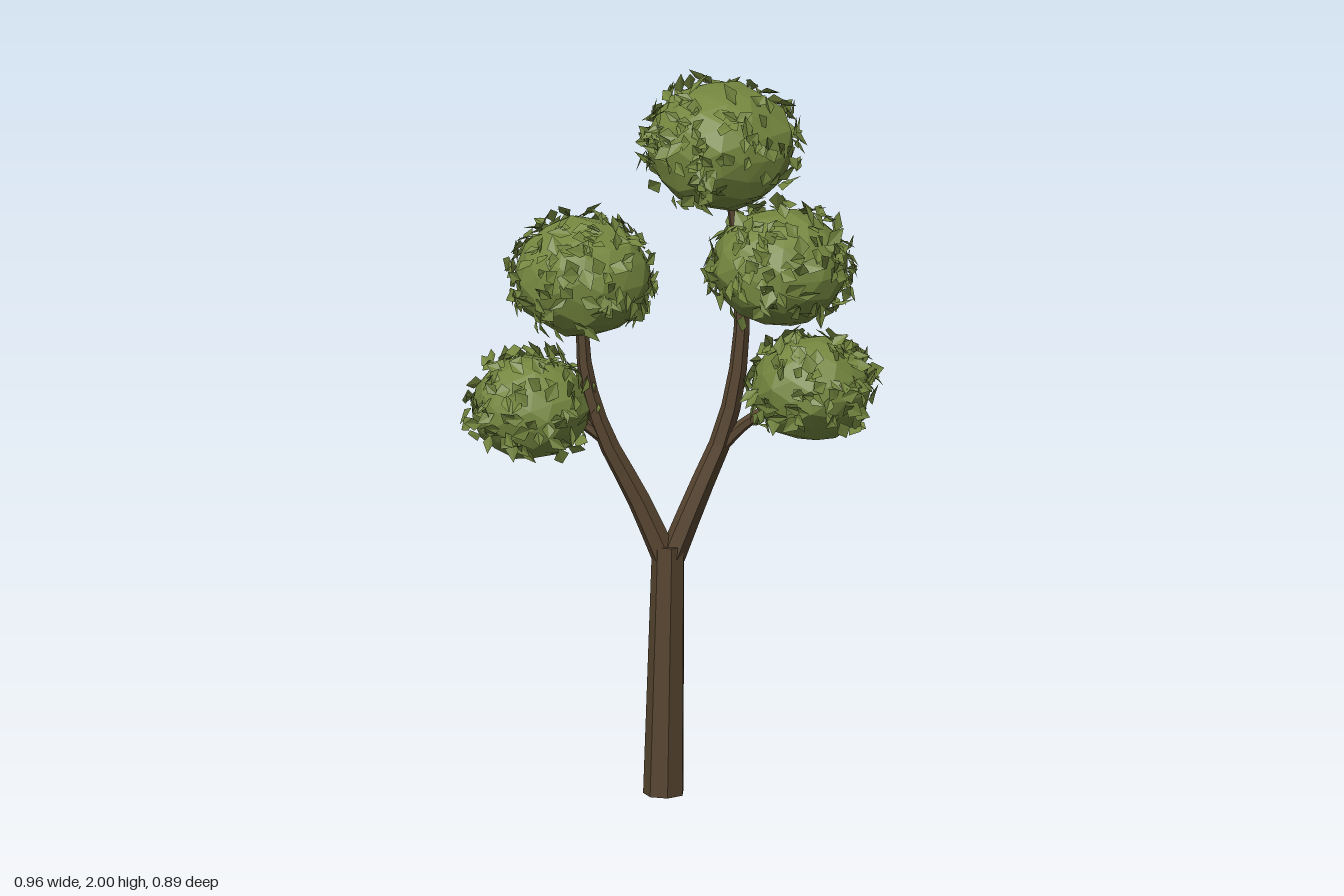
import * as THREE from 'three';

const bark = new THREE.MeshStandardMaterial({ color: 0x56442f, flatShading: true });
bark.name = 'bark brown';
const green = new THREE.MeshStandardMaterial({ color: 0x74863f, flatShading: true });
green.name = 'foliage green';
const leafGreen = new THREE.MeshStandardMaterial({ color: 0x74863f, flatShading: true, side: THREE.DoubleSide });
leafGreen.name = 'leaf green';

const V = (x, y, z) => new THREE.Vector3(x, y, z);

function seeded(seed) {
  let s = seed * 7919 + 17;
  return () => {
    s = (s * 16807) % 2147483647;
    return s / 2147483647;
  };
}

function mesh(name, geometry, material) {
  const m = new THREE.Mesh(geometry, material);
  m.name = name;
  return m;
}

// Six-sided limb that tapers along a curve
function limb(name, points, r0, r1) {
  const curve = new THREE.CatmullRomCurve3(points);
  const rows = 10, sides = 6;
  const geo = new THREE.TubeGeometry(curve, rows, 1, sides);
  const pos = geo.attributes.position, p = V(0, 0, 0);
  for (let i = 0; i < pos.count; i++) {
    const t = Math.floor(i / (sides + 1)) / rows;
    const c = curve.getPointAt(t);
    p.fromBufferAttribute(pos, i).sub(c).multiplyScalar(r0 + (r1 - r0) * t).add(c);
    pos.setXYZ(i, p.x, p.y, p.z);
  }
  return mesh(name, geo, bark);
}

// Faceted, slightly lumpy crown body
function crownBody(radii, seed) {
  const geo = new THREE.IcosahedronGeometry(1, 2);
  const pos = geo.attributes.position, p = V(0, 0, 0);
  for (let i = 0; i < pos.count; i++) {
    p.fromBufferAttribute(pos, i);
    const lump = 0.96 + 0.04 * Math.sin(p.x * 5 + seed) * Math.cos(p.z * 6 - seed * 2 + p.y * 4);
    p.multiplyScalar(lump).multiply(radii);
    pos.setXYZ(i, p.x, p.y, p.z);
  }
  return mesh('crownBody', geo, green);
}

// Pointed, folded leaves scattered over the crown, sparse on its underside
function crownLeaves(radii, seed, count) {
  const rnd = seeded(seed), verts = [];
  while (verts.length < count * 18) {
    const y = -0.75 + 1.7 * rnd(), a = rnd() * Math.PI * 2;
    if (y < -0.3 && rnd() < 0.45) continue;
    const r = Math.sqrt(1 - y * y);
    const n = V(r * Math.cos(a), y, r * Math.sin(a));
    const base = n.clone().multiply(radii).multiplyScalar(0.95);
    const along = V(rnd() - 0.5, rnd() - 0.5, rnd() - 0.5).cross(n).normalize();
    const side = along.clone().cross(n).normalize();
    const dir = along.addScaledVector(n, 0.15 + 0.65 * rnd()).normalize();
    const len = 0.04 + 0.03 * rnd(), w = 0.014 + 0.01 * rnd();
    const tip = base.clone().addScaledVector(dir, len);
    const mid = base.clone().addScaledVector(dir, len * 0.4).addScaledVector(n, 0.006);
    const left = mid.clone().addScaledVector(side, w);
    const right = mid.clone().addScaledVector(side, -w);
    for (const v of [base, left, tip, base, tip, right]) verts.push(v.x, v.y, v.z);
  }
  const geo = new THREE.BufferGeometry();
  geo.setAttribute('position', new THREE.Float32BufferAttribute(verts, 3));
  geo.computeVertexNormals();
  return mesh('leaves', geo, leafGreen);
}

function crown(name, center, width, height, seed, count) {
  const g = new THREE.Group();
  g.name = name;
  const radii = V(width, height, width);
  g.add(crownBody(radii, seed), crownLeaves(radii, seed, count));
  g.position.copy(center);
  return g;
}

export function createModel() {
  const tree = new THREE.Group();
  tree.name = 'tree';

  // Trunk, leaning very slightly
  const trunkGeo = new THREE.CylinderGeometry(0.045, 0.056, 0.69, 7, 3);
  trunkGeo.translate(0, 0.345, 0);
  const shear = new THREE.Matrix4().set(1, 0.016, 0, -0.004, 0, 1, 0, 0, 0, -0.01, 1, 0.002, 0, 0, 0, 1);
  trunkGeo.applyMatrix4(shear);
  tree.add(mesh('trunk', trunkGeo, bark));

  // Forked main branches and their side twigs
  tree.add(
    limb('rightBranch', [V(0, 0.66, 0.005), V(-0.055, 0.82, 0.05), V(-0.125, 1.01, 0.115),
      V(-0.16, 1.2, 0.148), V(-0.16, 1.45, 0.15)], 0.036, 0.013),
    limb('leftBranch', [V(0.015, 0.66, -0.01), V(0.06, 0.82, -0.055), V(0.115, 1.02, -0.115),
      V(0.145, 1.25, -0.14), V(0.14, 1.48, -0.14), V(0.12, 1.72, -0.11)], 0.036, 0.012),
    limb('rightTwig', [V(-0.115, 0.98, 0.105), V(-0.17, 1.03, 0.15), V(-0.27, 1.08, 0.23)], 0.019, 0.01),
    limb('leftTwig', [V(0.105, 0.96, -0.1), V(0.16, 1.03, -0.15), V(0.28, 1.12, -0.25)], 0.02, 0.01),
  );

  // Leafy crowns
  tree.add(
    crown('topCrown', V(0.11, 1.795, -0.1), 0.208, 0.178, 1, 210),
    crown('upperRightCrown', V(-0.165, 1.435, 0.15), 0.194, 0.166, 2, 190),
    crown('upperLeftCrown', V(0.215, 1.455, -0.22), 0.192, 0.163, 3, 190),
    crown('lowerRightCrown', V(-0.275, 1.07, 0.235), 0.166, 0.143, 4, 160),
    crown('lowerLeftCrown', V(0.295, 1.125, -0.255), 0.166, 0.146, 5, 160),
  );
  return tree;
}
